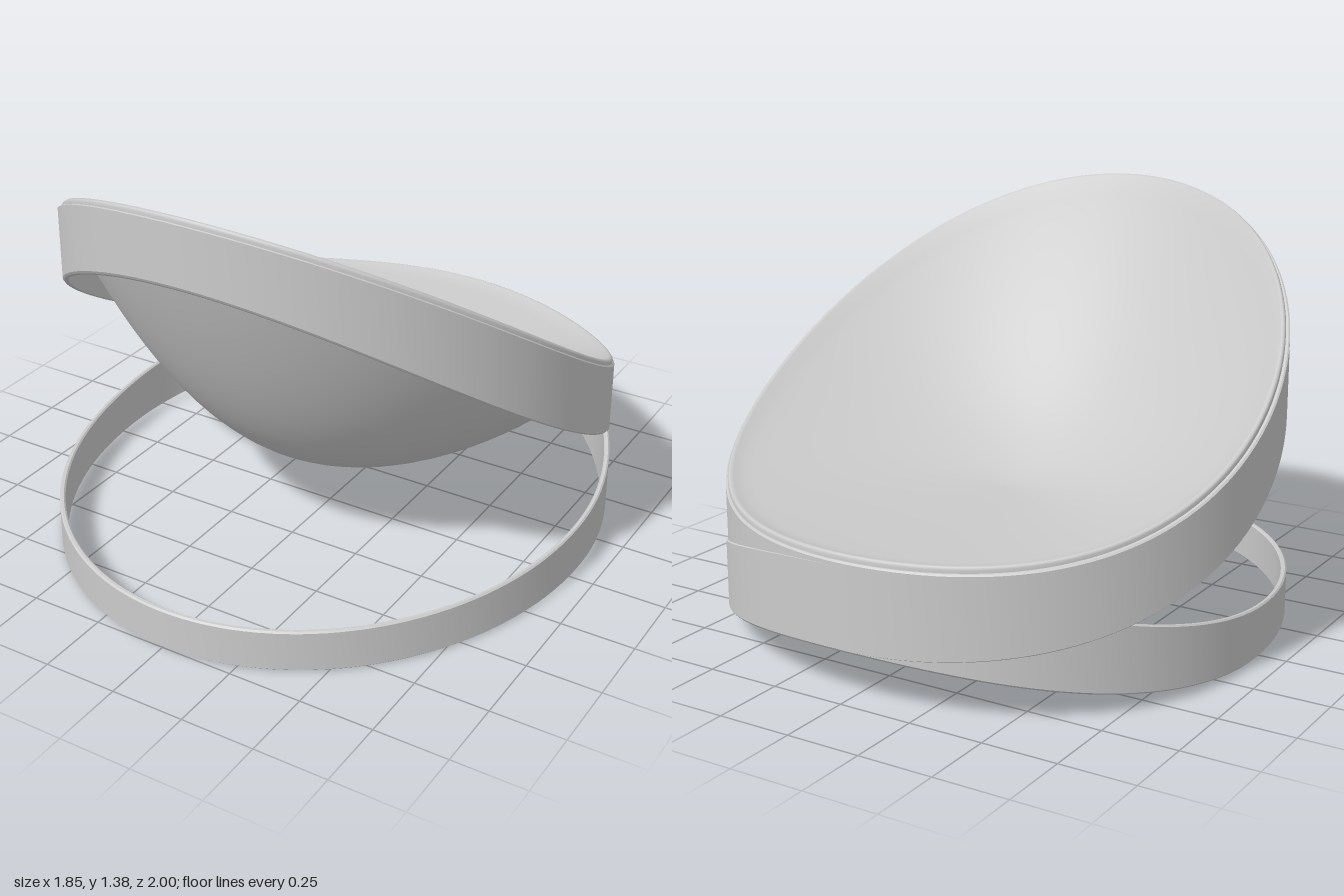
import * as THREE from 'three';

const SEGMENTS = 144;
const CENTRE_Z = -0.08;
const RADIUS = 0.92;

// Heights along the depth of the chair
const rimY = (z) => 0.822 + 0.6 * z + 0.16 * z * z - 0.09 * z ** 3;
const hoopBottomY = (z) => 0.54 + 0.57 * z + 0.2 * z * z;
const baseTopY = (z) => { const t = (1 - z) / 2; return 0.14 + 0.04 * t + 0.26 * t ** 4; };
const baseBottomY = (z) => 0.17 * Math.max(0, (1 - z) / 2) ** 5;

// Sweeps a cross-section around the vertical axis; strips are smooth inside, sharp between
function sweep(strips) {
  const positions = [], index = [];
  for (const strip of strips) {
    const start = positions.length / 3;
    let rows = 0;
    for (let i = 0; i < SEGMENTS; i++) {
      const section = strip((i / SEGMENTS) * Math.PI * 2);
      rows = section.length;
      for (const p of section) positions.push(...p);
    }
    for (let i = 0; i < SEGMENTS; i++) {
      const a = start + i * rows, b = start + ((i + 1) % SEGMENTS) * rows;
      for (let j = 0; j < rows - 1; j++) {
        index.push(a + j, b + j, a + j + 1, b + j, b + j + 1, a + j + 1);
      }
    }
  }
  const geometry = new THREE.BufferGeometry();
  geometry.setAttribute('position', new THREE.Float32BufferAttribute(positions, 3));
  geometry.setIndex(index);
  geometry.computeVertexNormals();
  return geometry;
}

// Thin upright band; lean pushes one side outwards so two bands cross at the back
function bandGeometry(topY, bottomY, lean, frontStretch) {
  const thickness = 0.018, bevel = 0.005;
  const corner = (angle, inner, top, onEdge) => {
    const s = Math.sin(angle), c = Math.cos(angle);
    const edge = onEdge ? bevel : 0;
    const r = RADIUS + lean * s - (inner ? thickness - edge : edge);
    const z = CENTRE_Z + r * c * (c > 0 ? frontStretch : 1);
    const inset = onEdge ? 0 : bevel;
    return [r * s, top ? topY(z) - inset : bottomY(z) + inset, z];
  };
  // [inner, top, onEdge] around the section
  const ring = [
    [0, 0, 0], [0, 1, 0], [0, 1, 1], [1, 1, 1],
    [1, 1, 0], [1, 0, 0], [1, 0, 1], [0, 0, 1],
  ];
  return sweep(ring.map((from, i) => {
    const to = ring[(i + 1) % ring.length];
    return (angle) => [corner(angle, ...from), corner(angle, ...to)];
  }));
}

// Dished seat: each radial section runs from a low centre out to the wavy rim and back
function seatGeometry() {
  const R = 0.91, STEPS = 28, UNDERSIDE = 0.205, TOP = 0.43;
  const profile = (angle) => {
    const s = Math.sin(angle), c = Math.cos(angle);
    const rim = rimY(CENTRE_Z + R * c);
    const point = (r, y) => [r * s, y, CENTRE_Z + r * c];
    const points = [];
    for (let i = 0; i <= STEPS; i++) {
      const t = Math.max(0.0005, Math.sin((i / STEPS) * Math.PI / 2));
      points.push(point(R * t, THREE.MathUtils.lerp(UNDERSIDE, rim - 0.03, t ** 2.5)));
    }
    // Rounded lip
    points.push(point(R, rim - 0.01), point(R - 0.004, rim - 0.003));
    points.push(point(R - 0.011, rim), point(R - 0.019, rim - 0.005));
    for (let i = STEPS - 1; i >= 0; i--) {
      const t = Math.max(0.0005, i / STEPS);
      points.push(point((R - 0.02) * t, THREE.MathUtils.lerp(TOP, rim - 0.01, t * t)));
    }
    return points;
  };
  return sweep([profile]);
}

export function createModel() {
  const group = new THREE.Group();
  const material = new THREE.MeshStandardMaterial({ color: 0xcccccc });
  const add = (name, geometry) => {
    const mesh = new THREE.Mesh(geometry, material);
    mesh.name = name;
    group.add(mesh);
  };

  // Floor band rising at the back
  add('baseBand', bandGeometry(baseTopY, baseBottomY, 0.004, 1.08 / RADIUS));
  // Tilted band carrying the seat
  add('seatBand', bandGeometry((z) => rimY(z) - 0.02, hoopBottomY, -0.004, 1));
  add('seat', seatGeometry());
  return group;
}
